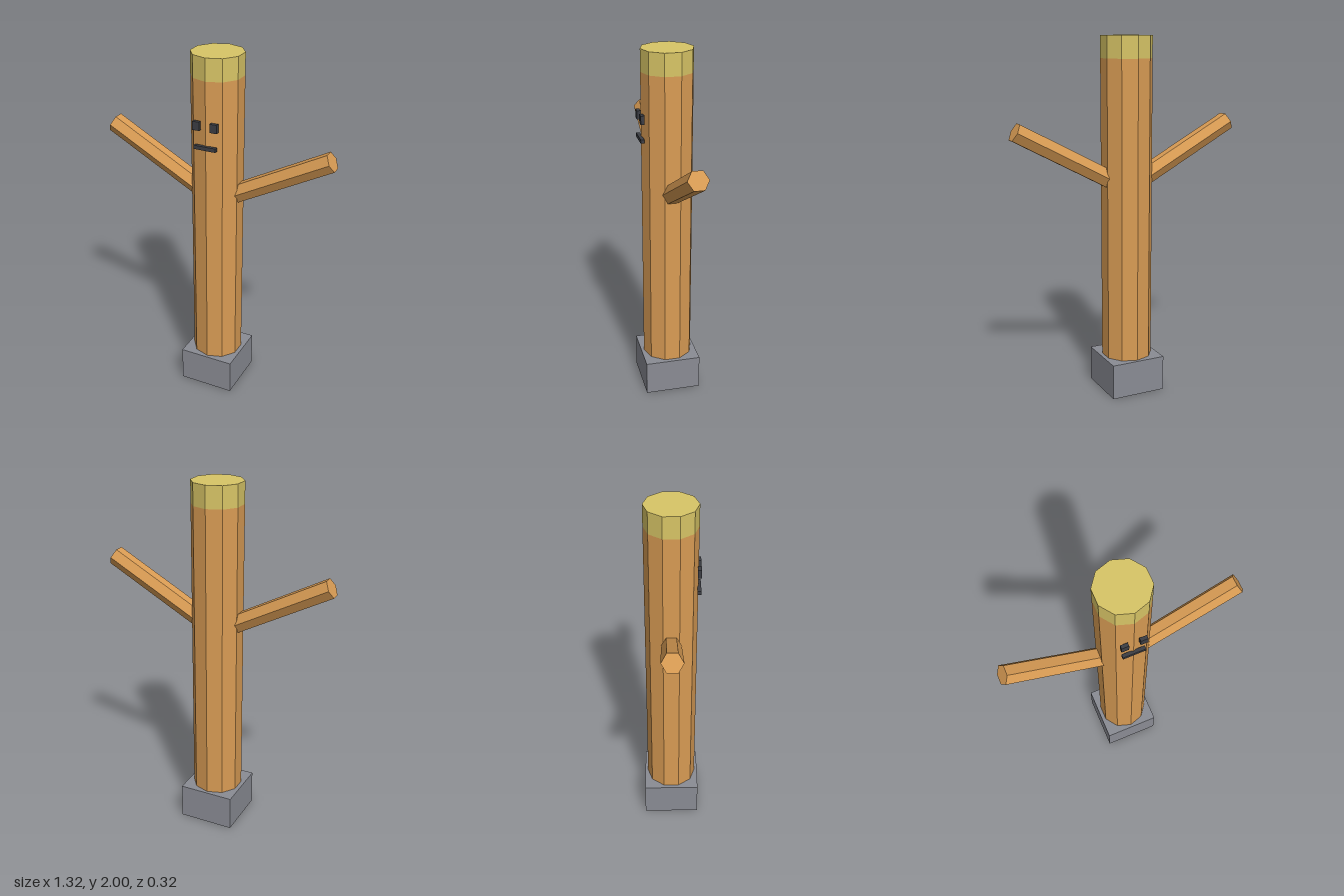
import * as THREE from 'three';

const material = (color) => new THREE.MeshStandardMaterial({ color, flatShading: true });

export function createModel() {
  const model = new THREE.Group();
  const wood = material(0xd99c54);
  const straw = material(0xd8c566);
  const stone = material(0x8a8c94);
  const dark = material(0x3c3e44);

  const add = (name, geometry, mat, x, y, z = 0) => {
    const mesh = new THREE.Mesh(geometry, mat);
    mesh.name = name;
    mesh.position.set(x, y, z);
    model.add(mesh);
    return mesh;
  };

  // Square foot and ten-sided post with a pale top band
  add('base', new THREE.BoxGeometry(0.316, 0.2, 0.316), stone, 0, 0.1);
  add('trunk', new THREE.CylinderGeometry(0.142, 0.142, 1.68, 10), wood, 0, 1.04);
  add('topBand', new THREE.CylinderGeometry(0.142, 0.142, 0.12, 10), straw, 0, 1.94);

  // Six-sided arms rising outwards, and the eyes
  const inner = new THREE.Vector2(0.08, 1.215);
  const outer = new THREE.Vector2(0.64, 1.515);
  const span = outer.clone().sub(inner);
  for (const [label, side] of [['left', 1], ['right', -1]]) {
    const arm = add(label + 'Arm', new THREE.CylinderGeometry(0.055, 0.055, span.length(), 6), wood,
      side * (inner.x + outer.x) / 2, (inner.y + outer.y) / 2);
    arm.rotation.z = -side * (Math.PI / 2 - span.angle());
    add(label + 'Eye', new THREE.BoxGeometry(0.04, 0.047, 0.02), dark, side * 0.05, 1.643, 0.146);
  }

  add('mouth', new THREE.BoxGeometry(0.125, 0.021, 0.02), dark, 0, 1.526, 0.146);
  return model;
}
